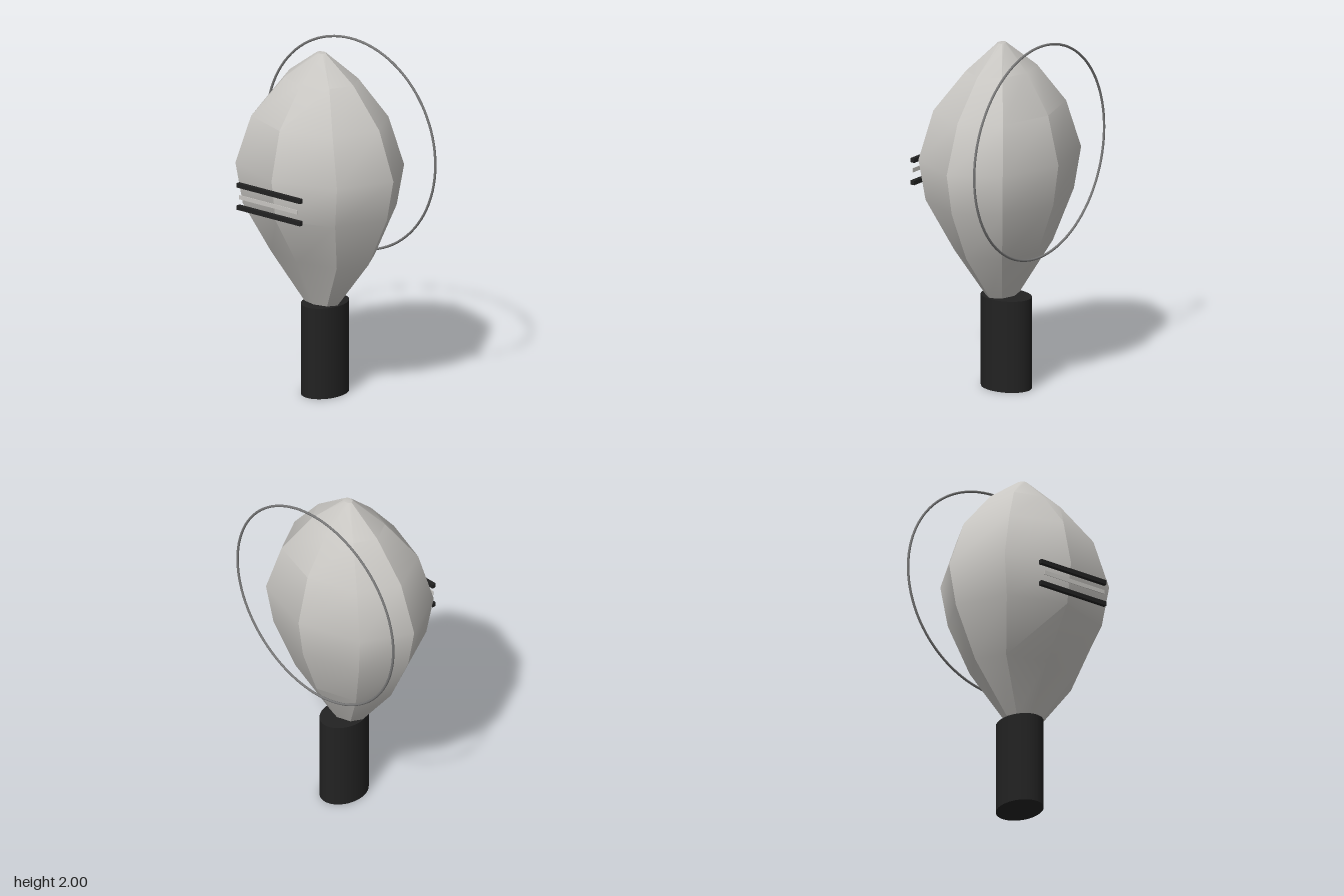
import * as THREE from 'three';
import { toCreasedNormals } from 'three/addons/utils/BufferGeometryUtils.js';

const SIDES = 8;
const AXIS_Z = -0.035;

// Cross-sections of the body: [height, half width, front z, back z]
const RINGS = [
  [0.53, 0.115, 0.035, -0.12],
  [0.81, 0.335, 0.18, -0.28],
  [1.10, 0.47, 0.36, -0.385],
  [1.335, 0.517, 0.394, -0.42],
  [1.61, 0.415, 0.325, -0.35],
  [1.83, 0.23, 0.145, -0.205],
  [1.975, 0.03, -0.01, -0.055],
];

// Eight-sided loft through the rings, closed at both ends
function bodyGeometry() {
  const pos = [], idx = [];
  for (const [y, rx, front, back] of RINGS) {
    for (let i = 0; i < SIDES; i++) {
      const a = (i / SIDES) * Math.PI * 2, c = Math.cos(a);
      const depth = c > 0 ? front - AXIS_Z : AXIS_Z - back;
      pos.push(rx * Math.sin(a), y, AXIS_Z + c * depth);
    }
  }
  const last = (RINGS.length - 1) * SIDES, bottom = RINGS.length * SIDES;
  pos.push(0, RINGS[0][0], AXIS_Z, 0, 1.978, AXIS_Z);
  for (let i = 0; i < SIDES; i++) {
    const j = (i + 1) % SIDES;
    for (let r = 0; r < last; r += SIDES) {
      idx.push(r + i, r + j, r + SIDES + j, r + i, r + SIDES + j, r + SIDES + i);
    }
    idx.push(bottom, j, i, bottom + 1, last + i, last + j);
  }
  const geo = new THREE.BufferGeometry();
  geo.setAttribute('position', new THREE.Float32BufferAttribute(pos, 3));
  geo.setIndex(idx);
  return toCreasedNormals(geo, Math.PI / 6);
}

export function createModel() {
  const group = new THREE.Group();
  const material = (name, color) => {
    const m = new THREE.MeshStandardMaterial({ color });
    m.name = name;
    return m;
  };
  const paleGrey = material('paleGrey', 0xc8c6c2);
  const black = material('black', 0x222222);
  const steel = material('steel', 0x777777);

  const add = (name, geo, mat, x, y, z) => {
    const mesh = new THREE.Mesh(geo, mat);
    mesh.name = name;
    mesh.position.set(x, y, z);
    group.add(mesh);
    return mesh;
  };

  // Faceted body
  add('body', bodyGeometry(), paleGrey, 0, 0, 0);

  // Oval neck carrying the body
  const neck = add('neck', new THREE.CylinderGeometry(1, 1, 0.525, 40), black, 0, 0.2625, -0.064);
  neck.scale.set(0.118, 1, 0.152);

  // Thin upright ring through the back of the body
  add('ring', new THREE.TorusGeometry(0.606, 0.007, 10, 96), steel, 0, 1.387, -0.288);

  // Two dark bars with a pale strip between them
  for (const [name, y] of [['upperBar', 1.271], ['lowerBar', 1.142]]) {
    add(name, new THREE.BoxGeometry(0.456, 0.025, 0.024), black, 0, y, 0.41);
  }
  add('paleStrip', new THREE.BoxGeometry(0.42, 0.024, 0.004), paleGrey, 0, 1.207, 0.422);

  return group;
}
